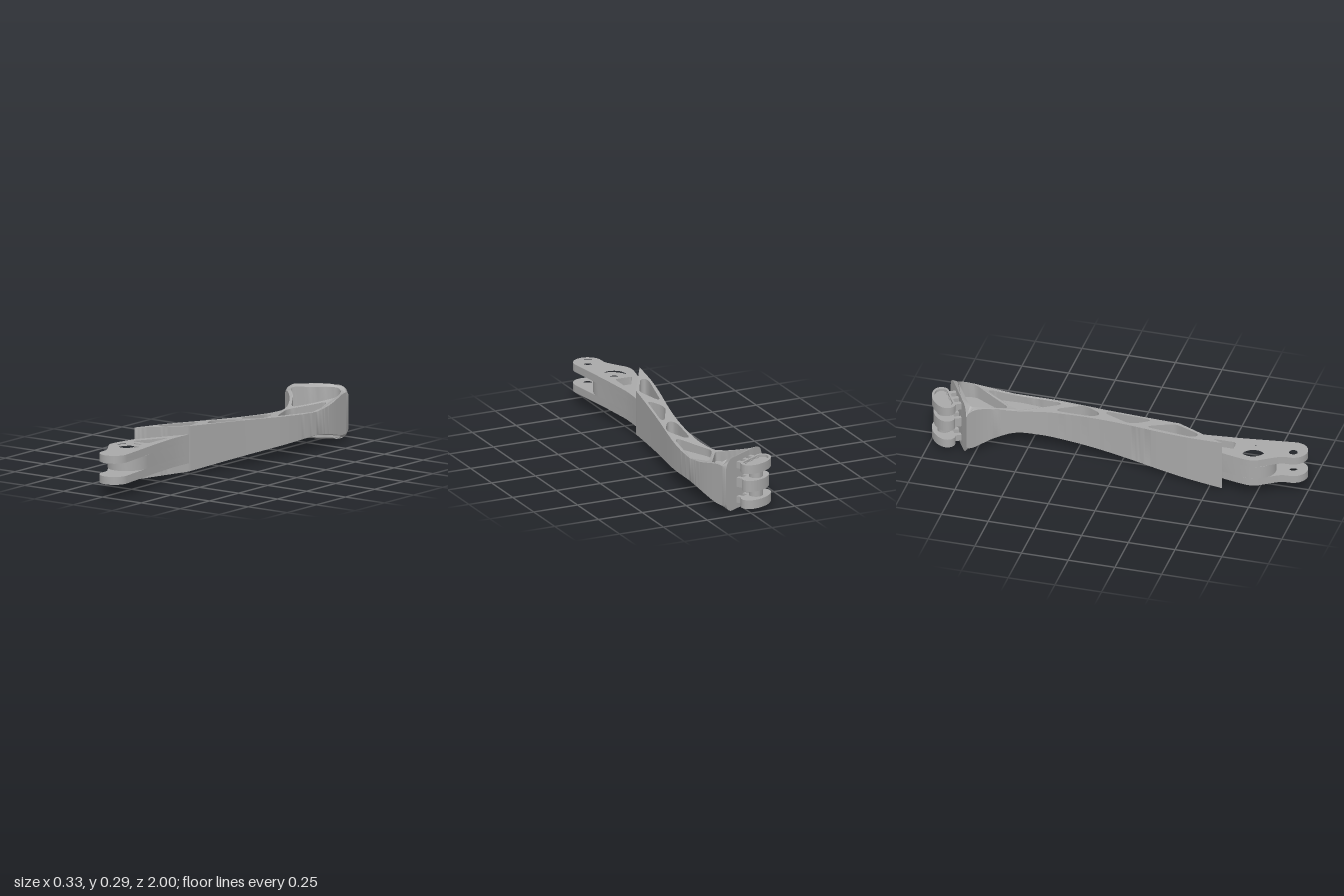
import * as THREE from 'three';
import { toCreasedNormals } from 'three/addons/utils/BufferGeometryUtils.js';

const MID = 0.143; // height of the symmetry plane

const V = (pts) => pts.map(([x, z]) => new THREE.Vector2(x, z));
const spline = (pts, n) => new THREE.SplineCurve(V(pts)).getPoints(n);
const arc = (cx, cz, rx, rz, a0, a1, n) => Array.from({ length: n + 1 }, (_, i) => {
  const a = a0 + (a1 - a0) * i / n;
  return new THREE.Vector2(cx + rx * Math.cos(a), cz + rz * Math.sin(a));
});
const circle = (cx, cz, r) => arc(cx, cz, r, r, 0, Math.PI * 2, 40).slice(0, -1);

// split long edges so that a height rule can bend them
function dense(pts, step = 0.02) {
  return pts.flatMap((p, i) => {
    const q = pts[(i + 1) % pts.length];
    const n = Math.max(1, Math.round(p.distanceTo(q) / step));
    return Array.from({ length: n }, (_, k) => p.clone().lerp(q, k / n));
  });
}

// polygon with rounded corners
function rounded(corners, r) {
  const c = V(corners);
  return c.flatMap((p, i) => {
    const toward = (q) => p.clone().lerp(q, Math.min(0.45, r / p.distanceTo(q)));
    const a = toward(c[(i + c.length - 1) % c.length]);
    const b = toward(c[(i + 1) % c.length]);
    return new THREE.QuadraticBezierCurve(a, p, b).getPoints(4);
  });
}

// plan outline (x, z) raised from y0 to y1
function slab(outline, holes, y0, y1) {
  const flip = (pts) => pts.map((p) => new THREE.Vector2(p.x, -p.y));
  const shape = new THREE.Shape(flip(outline));
  shape.holes = holes.map((h) => new THREE.Path(flip(h)));
  const g = new THREE.ExtrudeGeometry(shape, { depth: y1 - y0, bevelEnabled: false });
  g.rotateX(-Math.PI / 2);
  g.translate(0, y0, 0);
  return g;
}

// end plate frame: centre and 30 degree turn
const TURN = Math.PI / 6;
const PLATE = new THREE.Vector2(-0.0225, -0.8675);

// half height of the arm: a slow taper, flaring to a rounded rectangle at the end plate
function halfHeight(x, z) {
  const dx = x - PLATE.x, dz = z - PLATE.y;
  const u = dx * Math.cos(TURN) - dz * Math.sin(TURN);
  const d = dx * Math.sin(TURN) + dz * Math.cos(TURN);
  const s = Math.pow(THREE.MathUtils.clamp((0.33 - d) / 0.33, 0, 1), 1.7);
  const r = 0.06;
  const over = THREE.MathUtils.clamp(Math.abs(u) - (0.165 - r), 0, r);
  const drop = r - Math.sqrt(r * r - over * over);
  const base = Math.max(0.061, 0.0655 + (z + 0.5) * 0.067);
  return base + s * (0.082 - drop);
}

export function createModel() {
  const model = new THREE.Group();
  const metal = new THREE.MeshStandardMaterial({ color: 0xa9a9a9 });
  metal.name = 'grey metal';
  const add = (parent, name, geometry) => {
    const mesh = new THREE.Mesh(toCreasedNormals(geometry, 0.55), metal);
    mesh.name = name;
    parent.add(mesh);
    return mesh;
  };

  const body = new THREE.Group();
  body.name = 'linkArm';
  body.position.y = MID;
  model.add(body);

  // curved arm with triangulated pockets
  const leftSide = spline([[-0.165, -0.785], [-0.09, -0.72], [-0.035, -0.645], [0, -0.56], [0.018, -0.45],
    [0.022, -0.36], [0.01, -0.19], [-0.02, 0], [-0.072, 0.24], [-0.1, 0.4], [-0.118, 0.57]], 70);
  const rightSide = spline([[0.033, 0.3], [0.06, 0.12], [0.096, -0.1], [0.128, -0.27], [0.15, -0.4],
    [0.163, -0.53], [0.166, -0.64], [0.155, -0.78], [0.12, -0.95]], 60);
  const pockets = [
    [[-0.125, -0.775], [0.085, -0.902], [0.122, -0.89], [0.138, -0.82], [0.02, -0.615], [0, -0.62], [-0.065, -0.722]],
    [[0.122, -0.757], [0.145, -0.72], [0.152, -0.58], [0.13, -0.37], [0.108, -0.355], [0.018, -0.545], [0.024, -0.585]],
    [[0.045, -0.36], [0.069, -0.36], [0.115, -0.25], [0.108, -0.21], [0.063, -0.135], [0.032, -0.14], [0.024, -0.185], [0.037, -0.317]],
    [[0.063, -0.105], [0.083, -0.1], [0.045, 0.13], [0.03, 0.145], [-0.008, 0.07], [-0.006, 0.027]],
    [[-0.033, 0.15], [-0.016, 0.153], [0.018, 0.265], [0.018, 0.29], [-0.05, 0.423], [-0.08, 0.423], [-0.085, 0.386]],
  ].map((p) => dense(rounded(p, 0.025)));
  const arm = slab(dense([...leftSide, ...rightSide], 0.012), pockets, -1, 1);
  const pos = arm.attributes.position;
  for (let i = 0; i < pos.count; i++) pos.setY(i, pos.getY(i) * halfHeight(pos.getX(i), pos.getZ(i)));
  add(body, 'arm', arm);
  pockets.forEach((p) => add(body, 'pocketFloor', slab(p, [], -0.022, 0.022)));

  // fork: two tines on a boss, with a shallow triangular pocket
  const PIN = [0.012, 0.915], BORE = [-0.042, 0.715];
  const edge = V([[0.033, 0.3], [0.03, 0.36], [0.03, 0.43], [0.05, 0.63]]);
  const tine = [...edge, ...arc(...PIN, 0.076, 0.076, -0.1, Math.PI, 24),
    ...spline([[-0.064, 0.92], [-0.07, 0.87], [-0.11, 0.805], [-0.138, 0.76], [-0.146, 0.72], [-0.138, 0.66], [-0.118, 0.57]], 30).slice(1)];
  const core = [...edge, ...arc(...BORE, 0.104, 0.122, -0.2, Math.PI, 30), ...V([[-0.138, 0.66], [-0.118, 0.57]])];
  const triangle = rounded([[-0.098, 0.615], [0.002, 0.615], [0.002, 0.43]], 0.022);
  add(body, 'forkCore', slab(core, [circle(...BORE, 0.063)], -0.035, 0.035));
  for (const s of [-1, 1]) {
    const layer = (name, a, b, holes) => add(body, name, slab(tine, holes, Math.min(s * a, s * b), Math.max(s * a, s * b)));
    layer('forkTine', 0.035, 0.062, [circle(...BORE, 0.063), circle(...PIN, 0.022), triangle]);
    layer('forkTineFace', 0.062, 0.076, [circle(...BORE, 0.066), circle(...PIN, 0.042), triangle]);
  }

  // hinge foot behind the end plate
  const foot = new THREE.Group();
  foot.name = 'hingeFoot';
  foot.position.set(PLATE.x, MID, PLATE.y);
  foot.rotation.y = TURN;
  model.add(foot);
  const dShape = (k) => [
    ...arc(0, -0.075, 0.105 * k, 0.061 * k, 0, -Math.PI, 28),
    ...arc(-0.07 * k, -0.075, 0.035 * k, 0.04, Math.PI, Math.PI / 2, 6).slice(1),
    ...arc(0.07 * k, -0.075, 0.035 * k, 0.04, Math.PI / 2, 0, 6).slice(0, -1),
  ];
  const inner = dShape(1).map((p) => new THREE.Vector2(p.x * 0.84, -0.08 + (p.y + 0.08) * 0.78));
  const neck = (y, h) => [-0.055, 0, 0.055].forEach((u) => {
    const g = new THREE.BoxGeometry(0.022, h, 0.06);
    g.translate(u, y, -0.02);
    add(foot, 'neck', g);
  });
  for (const s of [-1, 1]) {
    const layer = (name, a, b, holes) => add(foot, name, slab(dShape(1), holes, Math.min(s * a, s * b), Math.max(s * a, s * b)));
    layer('outerLobe', 0.072, 0.106, []);
    layer('outerLobeRim', 0.106, 0.119, [inner]);
    neck(s * 0.094, 0.035);
  }
  add(foot, 'middleLobe', slab(dShape(0.88), [], -0.03, 0.03));
  neck(0, 0.05);
  const post = new THREE.CylinderGeometry(0.036, 0.036, 0.15, 28);
  post.translate(0, 0, -0.075);
  add(foot, 'post', post);

  return model;
}
